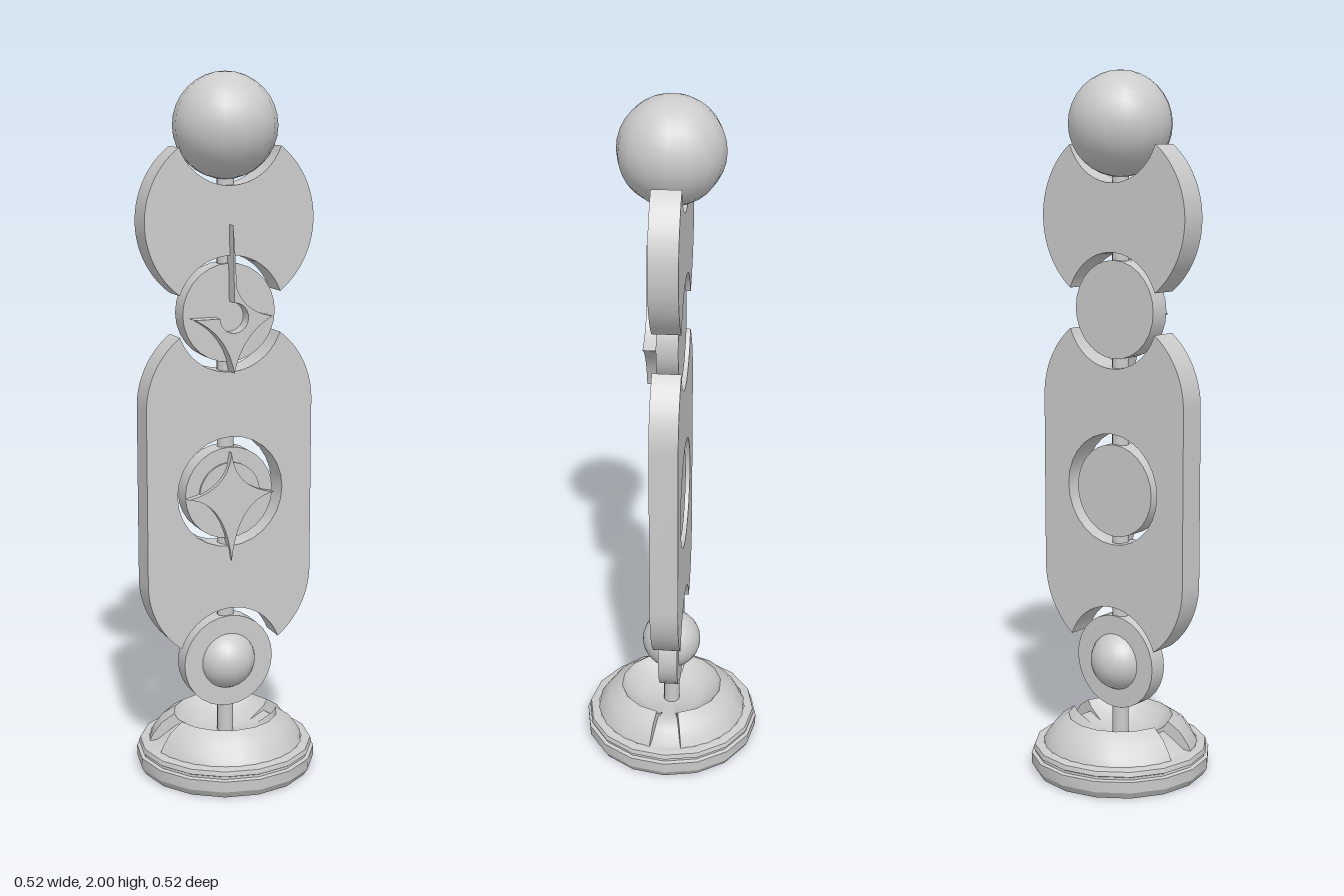
import * as THREE from 'three';
import { toCreasedNormals } from 'three/addons/utils/BufferGeometryUtils.js';

const grey = new THREE.MeshStandardMaterial({ color: 0xcccccc });
const greyDouble = new THREE.MeshStandardMaterial({ color: 0xcccccc, side: THREE.DoubleSide });
const vecs = (pts) => pts.map(([x, y]) => new THREE.Vector2(x, y));

export function createModel() {
  const model = new THREE.Group();

  function add(name, geometry, y = 0, material = grey) {
    const mesh = new THREE.Mesh(geometry, material);
    mesh.name = name;
    mesh.position.y = y;
    model.add(mesh);
    return mesh;
  }

  // Extrudes a shape between two z planes
  function slab(shape, z0, z1) {
    const geo = new THREE.ExtrudeGeometry(shape, { depth: z1 - z0, bevelEnabled: false, curveSegments: 14 });
    geo.translate(0, 0, z0);
    return toCreasedNormals(geo, 0.6);
  }

  const disc = (r, depth) => new THREE.CylinderGeometry(r, r, depth, 28).rotateX(Math.PI / 2);

  // Stepped foot
  const foot = vecs([[0, 0], [0.248, 0], [0.26, 0.02], [0.261, 0.052], [0.25, 0.055],
    [0.25, 0.062], [0.255, 0.065], [0.251, 0.078], [0.238, 0.082], [0.225, 0.082]]);
  add('foot', toCreasedNormals(new THREE.LatheGeometry(foot, 16), 0.5), 0, greyDouble);

  // Dome in two halves, with a hollow middle and a channel on each side
  const dome = [[0.226, 0.08], [0.216, 0.1], [0.19, 0.135], [0.152, 0.16], [0.14, 0.142], [0.09, 0.11], [0, 0.1]];
  const channel = [[0.226, 0.08], [0.2, 0.085], [0.17, 0.108], [0.14, 0.128], [0.09, 0.11], [0, 0.1]];
  const gap = 0.21;
  const wall = new THREE.Shape(vecs([...dome.slice(0, 6), ...channel.slice(1, 5).reverse()]));
  for (const side of [0, 1]) {
    const turn = side * Math.PI;
    add('domeHalf', toCreasedNormals(new THREE.LatheGeometry(vecs(dome), 7,
      turn - Math.PI / 2 + gap, Math.PI - 2 * gap), 0.6), 0, greyDouble);
    add('domeChannel', new THREE.LatheGeometry(vecs(channel), 2,
      turn + Math.PI / 2 - gap, 2 * gap), 0, greyDouble);
    for (const edge of [-gap, gap]) {
      add('channelWall', new THREE.ShapeGeometry(wall), 0, greyDouble).rotation.y = turn + edge;
    }
  }

  // Round-sided plate with a circular bite at its top and bottom
  function plateShape(low, high) {
    const s = new THREE.Shape();
    const a = Math.asin(0.8);
    const b = Math.atan2(0.055, 0.15);
    const bite = Math.hypot(0.055, 0.15);
    s.absarc(0, low, 0.25, -a, 0, false);
    s.absarc(0, high, 0.25, 0, a, false);
    s.absarc(0, high + 0.255, bite, -b, -Math.PI + b, true);
    s.absarc(0, high, 0.25, Math.PI - a, Math.PI, false);
    s.absarc(0, low, 0.25, Math.PI, Math.PI + a, false);
    s.absarc(0, low - 0.255, bite, Math.PI - b, b, true);
    return s;
  }
  const longShape = plateShape(0.585, 1.085);
  longShape.holes.push(new THREE.Path().absarc(0, 0.835, 0.16, 0, Math.PI * 2, true));
  add('longPlate', slab(longShape, -0.04, 0.04));
  add('upperPlate', slab(plateShape(1.6, 1.6), -0.04, 0.04));

  // Discs and balls
  add('lowerDisc', disc(0.137, 0.056), 0.325);
  add('lowerBall', new THREE.SphereGeometry(0.087, 24, 16), 0.325);
  add('middleDisc', disc(0.133, 0.06), 0.83);
  add('upperDisc', disc(0.138, 0.06), 1.345);
  add('topBall', new THREE.SphereGeometry(0.145, 16, 16), 1.855);

  // Short pins joining the parts
  for (const [y0, y1] of [[0.09, 0.2], [0.45, 0.505], [0.66, 0.71], [0.955, 1.01], [1.17, 1.225], [1.47, 1.515], [1.68, 1.73]]) {
    add('pin', new THREE.CylinderGeometry(0.024, 0.024, y1 - y0, 12), (y0 + y1) / 2);
  }

  // Four-pointed star with a half-round backing on the middle disc
  const star = new THREE.Shape();
  star.moveTo(0, 0.95);
  star.quadraticCurveTo(0.01, 0.845, 0.13, 0.825);
  star.quadraticCurveTo(0.02, 0.81, 0, 0.635);
  star.quadraticCurveTo(-0.02, 0.81, -0.13, 0.825);
  star.quadraticCurveTo(-0.01, 0.845, 0, 0.95);
  add('middleStar', slab(star, 0.02, 0.05));
  const backing = new THREE.Shape();
  backing.absarc(0, 0.827, 0.092, 0, Math.PI, false);
  add('starBacking', slab(backing, 0.02, 0.036));

  // Tall open star with a round hollow on the upper disc
  const spike = new THREE.Shape();
  spike.moveTo(-0.004, 1.59);
  spike.quadraticCurveTo(0.004, 1.5, 0.006, 1.42);
  spike.quadraticCurveTo(0.03, 1.35, 0.115, 1.335);
  spike.quadraticCurveTo(0.025, 1.29, 0, 1.18);
  spike.quadraticCurveTo(-0.02, 1.29, -0.118, 1.335);
  spike.lineTo(-0.042, 1.335);
  spike.absarc(0, 1.335, 0.042, Math.PI, Math.PI * 2.5, false);
  spike.lineTo(-0.004, 1.59);
  add('upperStar', slab(spike, 0.02, 0.068));

  return model;
}
